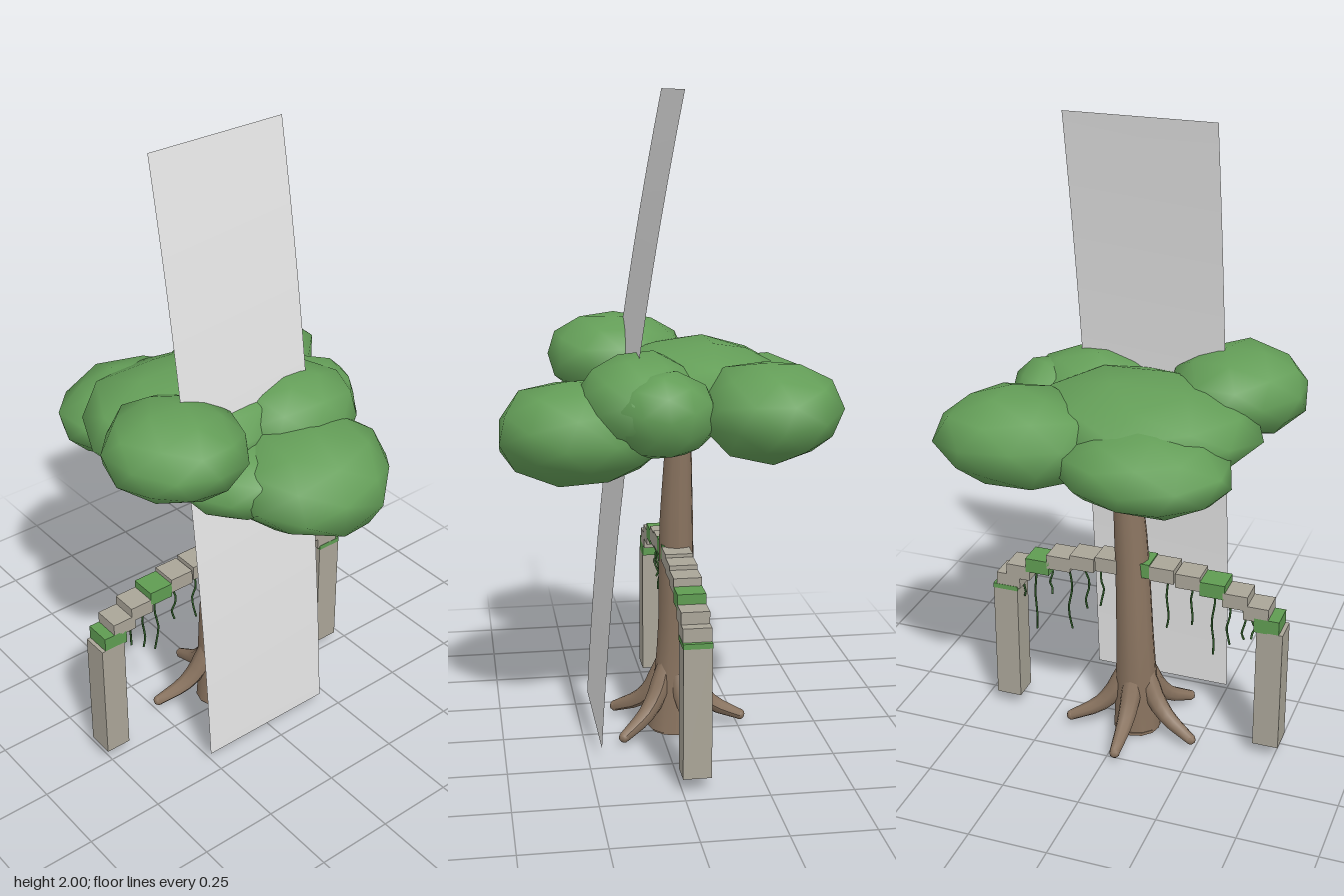
import * as THREE from 'three';
import { mergeVertices } from 'three/addons/utils/BufferGeometryUtils.js';

const mat = (name, color, side = THREE.FrontSide) => {
  const m = new THREE.MeshStandardMaterial({ color, side });
  m.name = name;
  return m;
};

function seeded(seed) {
  return () => {
    seed = (seed * 16807) % 2147483647;
    return seed / 2147483647;
  };
}

// Lumpy faceted ball with smooth normals
function blobGeometry(rx, ry, rz, turn, rand) {
  let g = new THREE.IcosahedronGeometry(1, 1);
  g.deleteAttribute('uv');
  g.deleteAttribute('normal');
  g = mergeVertices(g, 1e-4);
  g.rotateY(turn);
  g.rotateX(turn * 0.4);
  const p = g.attributes.position;
  for (let i = 0; i < p.count; i++) {
    const s = 0.95 + rand() * 0.12;
    p.setXYZ(i, p.getX(i) * s * rx, p.getY(i) * s * ry, p.getZ(i) * s * rz);
  }
  g.computeVertexNormals();
  return g;
}

// Tapered limb: rings of a given radius swept through a list of points
function limbGeometry(points, radii, sides, steps) {
  const curve = new THREE.CatmullRomCurve3(points);
  const g = new THREE.TubeGeometry(curve, steps, 1, sides, false);
  const p = g.attributes.position;
  const v = new THREE.Vector3();
  for (let i = 0; i <= steps; i++) {
    const c = curve.getPointAt(i / steps);
    const f = (i / steps) * (radii.length - 1);
    const k = Math.min(Math.floor(f), radii.length - 2);
    const r = THREE.MathUtils.lerp(radii[k], radii[k + 1], f - k);
    for (let j = 0; j <= sides; j++) {
      const n = i * (sides + 1) + j;
      v.fromBufferAttribute(p, n).sub(c).multiplyScalar(r).add(c);
      p.setXYZ(n, v.x, v.y, v.z);
    }
  }
  g.computeVertexNormals();
  return g;
}

export function createModel() {
  const group = new THREE.Group();
  const rand = seeded(7);
  const leaf = mat('leaf green', 0x649e58);
  const bark = mat('bark brown', 0x8a7460, THREE.DoubleSide);
  const stone = mat('stone grey', 0xaaa598);
  const moss = mat('moss green', 0x5f9c52);
  const vine = mat('vine green', 0x37682f);
  const sheet = mat('sheet grey', 0xe4e4e4, THREE.DoubleSide);

  const add = (name, geometry, material, x = 0, y = 0, z = 0, parent = group) => {
    const m = new THREE.Mesh(geometry, material);
    m.name = name;
    m.position.set(x, y, z);
    parent.add(m);
    return m;
  };

  // Leaf canopy: centre and radii of each clump
  const canopy = new THREE.Group();
  canopy.name = 'canopy';
  group.add(canopy);
  [
    [0.08, 1.005, 0.25, 0.255, 0.155, 0.26],
    [-0.30, 1.17, 0.11, 0.215, 0.13, 0.22],
    [0.16, 1.11, 0.08, 0.22, 0.14, 0.19],
    [0.26, 1.09, -0.28, 0.25, 0.145, 0.21],
    [-0.14, 1.06, -0.30, 0.255, 0.125, 0.21],
    [-0.08, 1.115, -0.10, 0.36, 0.13, 0.30],
    [0.28, 1.09, 0.03, 0.125, 0.125, 0.15],
    [-0.08, 1.015, 0.14, 0.20, 0.11, 0.19],
  ].forEach(([x, y, z, rx, ry, rz], i) =>
    add('leafClump', blobGeometry(rx, ry, rz, i * 0.9 + 0.3, rand), leaf, x, y, z, canopy));

  // Trunk, slightly bent, closed at the foot
  const tx = -0.03, tz = -0.045;
  const V = (x, y, z) => new THREE.Vector3(x, y, z);
  add('trunk', limbGeometry(
    [V(tx, 0.005, tz + 0.005), V(tx + 0.003, 0.3, tz - 0.01), V(tx + 0.018, 0.65, tz - 0.005), V(tx + 0.045, 1.05, tz - 0.01)],
    [0.078, 0.067, 0.06, 0.056, 0.052, 0.044, 0.035], 12, 12), bark);
  add('trunkFoot', new THREE.CylinderGeometry(0.076, 0.076, 0.01, 12), bark, tx, 0.005, tz);

  // Five roots flaring out around the foot
  const rootCount = 5;
  for (let i = 0; i < rootCount; i++) {
    const a = (i / rootCount) * Math.PI * 2 + Math.PI / 2;
    const at = (r, y) => V(tx + Math.cos(a) * r, y, tz - Math.sin(a) * r);
    add('root', limbGeometry(
      [at(0.03, 0.23), at(0.065, 0.14), at(0.12, 0.075), at(0.215, 0.027)],
      [0.026, 0.034, 0.03, 0.024, 0.017], 8, 8), bark);
    const tip = add('rootTip', new THREE.SphereGeometry(0.0172, 8, 6), bark);
    tip.position.copy(at(0.215, 0.027));
  }

  // Stone pillars
  const cx = -0.032, cz = -0.0425, depth = 0.085;
  for (const s of [-1, 1])
    add('pillar', new THREE.BoxGeometry(0.083, 0.412, depth), stone, cx + s * 0.441, 0.248, cz);
  add('mossCap', new THREE.BoxGeometry(0.084, 0.016, depth + 0.002), moss, cx + 0.441, 0.449, cz);

  // Stepped arch blocks: offset from the middle, height, mossy on either side
  [
    [0.43, 0.475, true, false],
    [0.395, 0.512, false, false],
    [0.328, 0.543, false, true],
    [0.255, 0.568, true, false],
    [0.175, 0.582, false, false],
    [0.09, 0.591, false, false],
  ].forEach(([d, y, mossLeft, mossRight]) => {
    const block = new THREE.BoxGeometry(0.08, 0.048, depth);
    add('archBlock', block, mossLeft ? moss : stone, cx - d, y, cz);
    add('archBlock', block, mossRight ? moss : stone, cx + d, y, cz);
  });
  add('keystone', new THREE.BoxGeometry(0.1, 0.048, depth), moss, cx, 0.596, cz);

  // Hanging vines: x, top, bottom
  [
    [-0.41, 0.49, 0.40], [-0.38, 0.52, 0.39], [-0.33, 0.53, 0.36], [-0.28, 0.55, 0.32],
    [-0.21, 0.56, 0.41], [-0.13, 0.57, 0.38], [0.09, 0.57, 0.42], [0.14, 0.57, 0.40],
    [0.20, 0.55, 0.31], [0.265, 0.53, 0.43], [0.32, 0.52, 0.29], [0.36, 0.50, 0.40],
  ].forEach(([x, top, bottom], i) => {
    const pts = [];
    for (let k = 0; k <= 5; k++)
      pts.push(V(x + Math.sin(k * 1.7 + i) * 0.005, THREE.MathUtils.lerp(top, bottom, k / 5),
        cz + Math.cos(k * 1.9 + i * 2) * 0.006));
    add('vine', new THREE.TubeGeometry(new THREE.CatmullRomCurve3(pts), 10, 0.0035, 5, false), vine);
  });

  // Tall leaning sheet, bowed gently forward
  const panel = new THREE.PlaneGeometry(0.46, 1.96, 1, 16);
  const pp = panel.attributes.position;
  for (let i = 0; i < pp.count; i++) {
    const drop = 0.98 - pp.getY(i);
    pp.setZ(i, -0.04 + 0.2 * drop - 0.037 * drop * drop);
  }
  panel.computeVertexNormals();
  add('sheet', panel, sheet, -0.03, 1.02, 0);

  return group;
}
